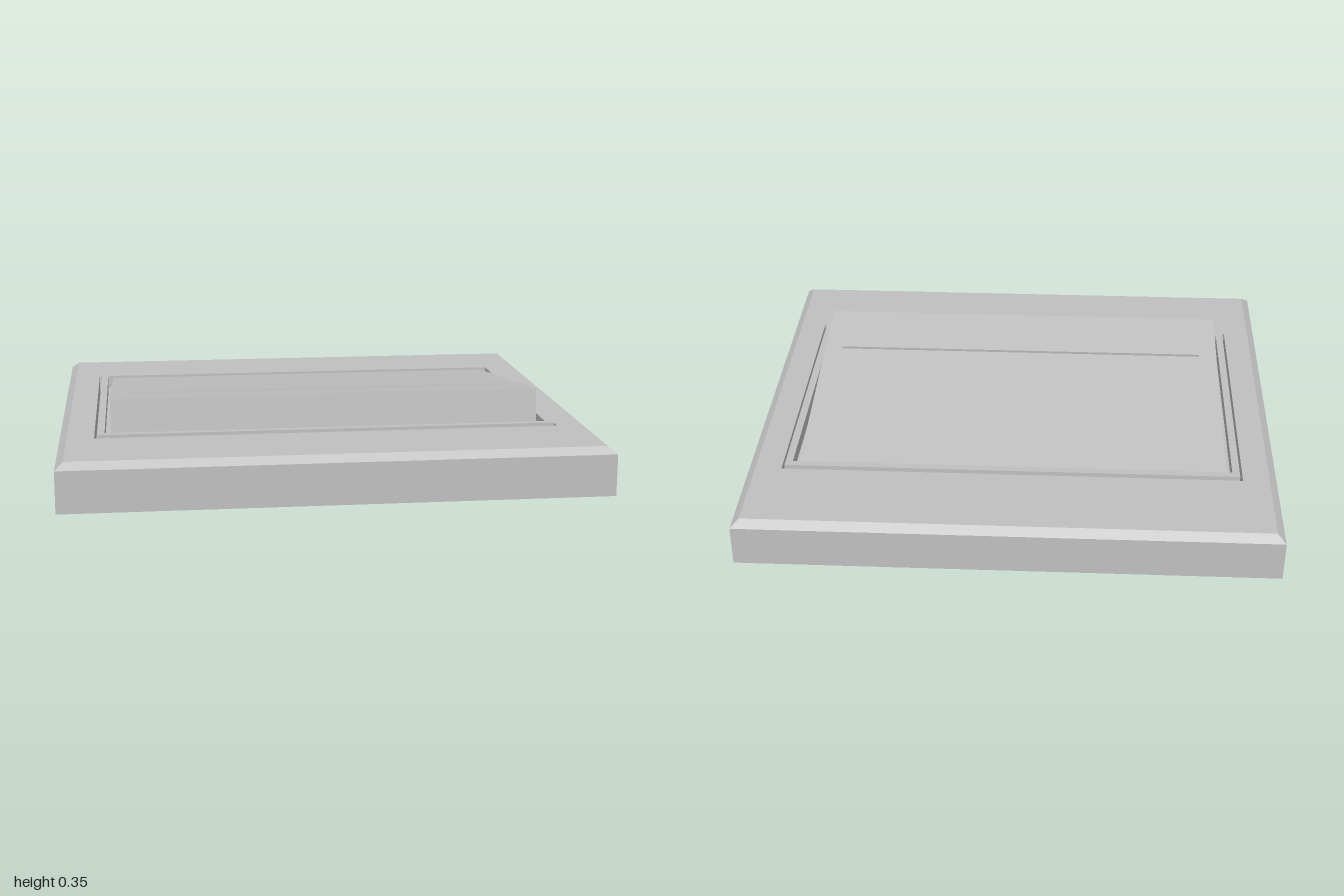
import * as THREE from 'three';

// Loft through nested rectangles [halfX, halfZ, y], listed from bottom centre outwards and up.
function loftRects(rects) {
  const pos = [];
  const corners = ([x, z, y]) => [[x, y, z], [x, y, -z], [-x, y, -z], [-x, y, z]];
  for (let i = 0; i + 1 < rects.length; i++) {
    const a = corners(rects[i]), b = corners(rects[i + 1]);
    for (let k = 0; k < 4; k++) {
      const n = (k + 1) % 4;
      pos.push(...a[k], ...a[n], ...b[n], ...a[k], ...b[n], ...b[k]);
    }
  }
  const geo = new THREE.BufferGeometry();
  geo.setAttribute('position', new THREE.Float32BufferAttribute(pos, 3));
  geo.computeVertexNormals();
  return geo;
}

export function createModel() {
  const model = new THREE.Group();
  model.name = 'rockerSwitch';
  const grey = new THREE.MeshStandardMaterial({ color: 0xc0c0c0 });
  grey.name = 'light grey';

  const add = (parent, name, geo, x = 0, y = 0, z = 0) => {
    const mesh = new THREE.Mesh(geo, grey);
    mesh.name = name;
    mesh.position.set(x, y, z);
    parent.add(mesh);
    return mesh;
  };

  // Wall plate: bevelled top edge and a rectangular recess
  add(model, 'wallPlate', loftRects([
    [0, 0, 0.05], [1, 0.9, 0.05], [1, 0.9, 0.205], [0.97, 0.87, 0.23],
    [0.87, 0.55, 0.23], [0.87, 0.55, 0.15], [0, 0, 0.15],
  ]));

  // Frame standing in the recess, with a narrow gap around it
  add(model, 'rockerFrame', loftRects([
    [0.86, 0.54, 0.15], [0.86, 0.54, 0.24], [0.832, 0.512, 0.24],
    [0.832, 0.512, 0.19], [0, 0, 0.19],
  ]));

  // Tilted rocker, raised at the front and poking out underneath at the back
  const rocker = new THREE.Group();
  rocker.name = 'rocker';
  rocker.position.set(0, 0.178, -0.013);
  rocker.rotation.x = -0.128;
  add(rocker, 'rockerPaddle', new THREE.BoxGeometry(1.62, 0.232, 0.968));
  add(rocker, 'indicatorBar', new THREE.BoxGeometry(1.475, 0.02, 0.08), 0, 0.116, 0.265);
  model.add(rocker);

  return model;
}
